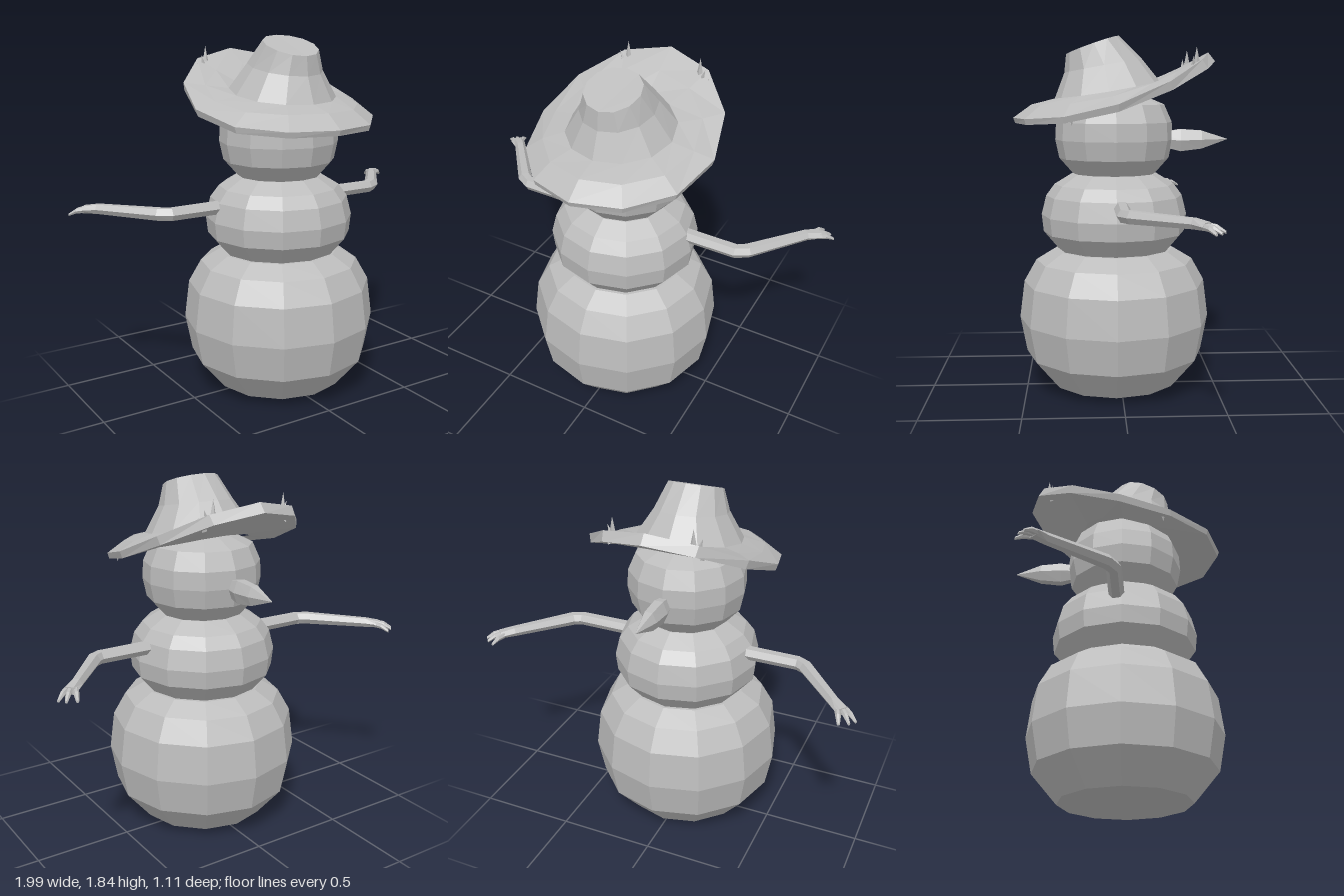
import * as THREE from 'three';

const grey = new THREE.MeshStandardMaterial({ color: 0xbcbcbc, flatShading: true });
grey.name = 'grey clay';

// Skin a stack of closed rings, optionally capping both ends
function loft(rings, capped = true) {
  const n = rings[0].length, pos = rings.flat().flatMap((p) => p.toArray()), idx = [];
  for (let i = 0; i < rings.length - 1; i++) {
    for (let j = 0; j < n; j++) {
      const a = i * n + j, b = i * n + (j + 1) % n;
      idx.push(a, b, b + n, a, b + n, a + n);
    }
  }
  if (capped) {
    const top = (rings.length - 1) * n;
    for (let j = 1; j < n - 1; j++) idx.push(0, j + 1, j, top, top + j, top + j + 1);
  }
  const g = new THREE.BufferGeometry();
  g.setAttribute('position', new THREE.Float32BufferAttribute(pos, 3));
  g.setIndex(idx);
  g.computeVertexNormals();
  return g;
}

// Limb along points [x, y, z, half height, half width]
function limb(points, n = 6) {
  const up = new THREE.Vector3(0, 1, 0);
  const c = points.map((p) => new THREE.Vector3(p[0], p[1], p[2]));
  return loft(c.map((p, i) => {
    const t = c[Math.min(i + 1, c.length - 1)].clone().sub(c[Math.max(i - 1, 0)]).setY(0).normalize();
    const side = t.cross(up);
    return Array.from({ length: n }, (_, j) => {
      const a = ((j + 0.5) / n) * Math.PI * 2;
      return p.clone().addScaledVector(up, Math.cos(a) * points[i][3])
        .addScaledVector(side, Math.sin(a) * points[i][4]);
    });
  }));
}

// Bent oval ring through front [z, y], side [x, z, y] and back [z, y]
function bentRing([fz, fy], [sx, sz, sy], [bz, by], n = 12) {
  const bend = (f, s, b, c) => s + ((f - b) / 2) * c + ((f + b) / 2 - s) * c * c;
  return Array.from({ length: n }, (_, j) => {
    const a = (j / n) * Math.PI * 2, c = Math.cos(a);
    return new THREE.Vector3(sx * Math.sin(a), bend(fy, sy, by, c), bend(fz, sz, bz, c));
  });
}

export function createModel() {
  const model = new THREE.Group();
  model.name = 'snowman';
  const add = (name, geometry, parent = model) => {
    const m = new THREE.Mesh(geometry, grey);
    m.name = name;
    parent.add(m);
    return m;
  };

  // Three stacked snowballs
  const balls = {
    lowerBall: [[0, 0.005], [0.335, 0.04], [0.465, 0.195], [0.5, 0.38], [0.475, 0.575], [0.41, 0.69], [0.31, 0.75], [0, 0.76]],
    middleBall: [[0, 0.72], [0.29, 0.745], [0.37, 0.84], [0.38, 0.93], [0.355, 1.03], [0.31, 1.09], [0.22, 1.145], [0, 1.15]],
    head: [[0, 1.12], [0.21, 1.14], [0.285, 1.225], [0.305, 1.32], [0.3, 1.41], [0.26, 1.5], [0.12, 1.56], [0, 1.57]],
  };
  for (const [name, profile] of Object.entries(balls)) {
    const g = new THREE.LatheGeometry(profile.map(([x, y]) => new THREE.Vector2(x, y)), 12);
    add(name, g).position.z = 0.035;
  }

  // Carrot nose
  add('nose', limb([
    [0, 1.32, -0.2, 0.04, 0.025], [0, 1.315, -0.31, 0.066, 0.045],
    [0, 1.318, -0.42, 0.054, 0.04], [0, 1.32, -0.555, 0.002, 0.002],
  ]));

  // Floppy hat: brim turned up over the face, and a leaning crown
  const hat = new THREE.Group();
  hat.name = 'hat';
  model.add(hat);
  const crownBase = bentRing([0.34, 1.53], [0.27, 0.07, 1.565], [-0.2, 1.62]);
  add('brim', loft([
    bentRing([0.3, 1.46], [0.25, 0.04, 1.5], [-0.19, 1.57]),
    bentRing([0.545, 1.405], [0.46, 0.03, 1.472], [-0.487, 1.72]),
    bentRing([0.555, 1.432], [0.472, 0.03, 1.508], [-0.45, 1.765]),
    bentRing([0.46, 1.5], [0.38, 0.06, 1.542], [-0.32, 1.69]),
    crownBase,
  ], false), hat);
  add('crown', loft([
    crownBase,
    bentRing([0.29, 1.66], [0.185, 0.09, 1.695], [-0.11, 1.73]),
    bentRing([0.28, 1.755], [0.14, 0.14, 1.805], [0.01, 1.848]),
  ]), hat);

  // Little spikes on the brim: three upright, one hanging below
  const spikes = [
    [0.2, 1.73, -0.365, 0.022, 0.11, 0], [0.225, 1.7, -0.345, 0.018, 0.08, -0.3],
    [0.245, 1.67, -0.34, 0.016, 0.07, -0.5], [0.37, 1.435, 0.25, 0.018, 0.06, Math.PI],
  ];

  for (const s of [1, -1]) {
    const label = s > 0 ? 'left' : 'right';
    for (const [x, y, z, r, h, tilt] of spikes) {
      const spike = add(label + 'BrimSpike', new THREE.ConeGeometry(r, h, 4), hat);
      spike.position.set(s * x, y, z);
      spike.rotation.z = s * tilt;
    }

    // Bent arm with three fingers
    const arm = new THREE.Group();
    arm.name = label + 'Arm';
    model.add(arm);
    const build = (name, pts) => add(name, limb(pts.map(([x, ...rest]) => [s * x, ...rest])), arm);
    build(label + 'ArmBranch', [
      [0.3, 1.005, 0.01, 0.035, 0.04], [0.61, 1.005, 0.01, 0.034, 0.038], [0.66, 1.007, -0.02, 0.034, 0.038],
      [0.87, 1.01, -0.275, 0.027, 0.03], [0.925, 1.005, -0.325, 0.02, 0.038],
    ]);
    for (const [x, z] of [[0.993, -0.352], [0.968, -0.38], [0.925, -0.402]]) {
      const rootX = 0.915 + (x - 0.96) * 0.45, rootZ = -0.318 + (z + 0.38) * 0.45;
      build(label + 'Finger', [
        [rootX, 1.005, rootZ, 0.016, 0.015], [(rootX + x) / 2, 1, (rootZ + z) / 2, 0.014, 0.013],
        [x, 0.98, z, 0.007, 0.007],
      ]);
    }
  }
  return model;
}
